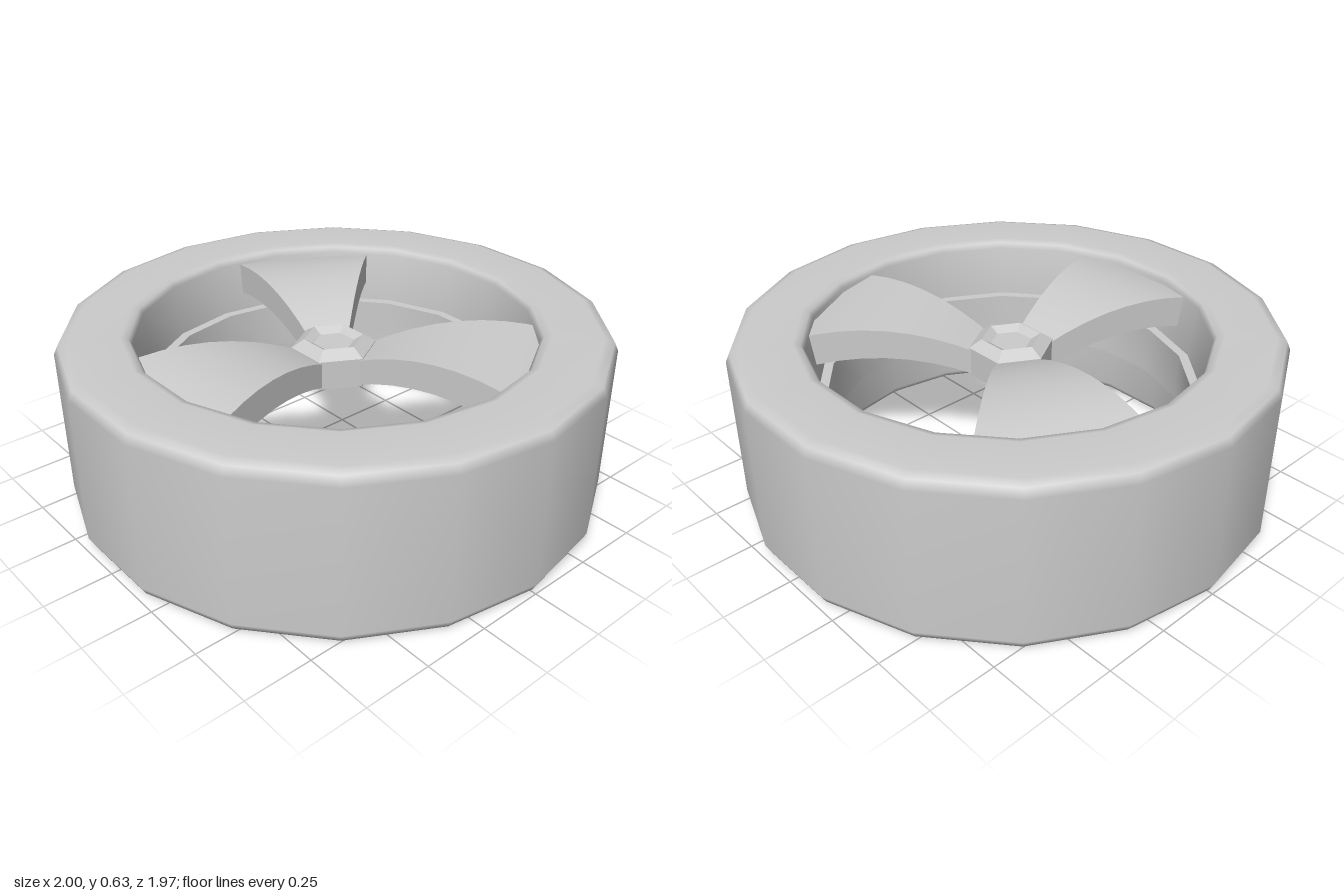
import * as THREE from 'three';
import { toCreasedNormals } from 'three/addons/utils/BufferGeometryUtils.js';

const material = new THREE.MeshStandardMaterial({ color: 0xcccccc });
const flatMaterial = new THREE.MeshStandardMaterial({ color: 0xcccccc, flatShading: true });

// Turned part with a corner on the x axis; profile is [radius, height] pairs
function turned(profile, sides) {
  const points = profile.map(([r, y]) => new THREE.Vector2(r, y));
  return new THREE.LatheGeometry(points, sides, Math.PI / 2);
}

function addMesh(parent, name, geometry, mat = material) {
  const mesh = new THREE.Mesh(geometry, mat);
  mesh.name = name;
  parent.add(mesh);
  return mesh;
}

// Spoke along +z: widens outward and arches along its length
function spokeGeometry() {
  const geometry = new THREE.BoxGeometry(1, 1, 1, 1, 1, 8);
  const pos = geometry.attributes.position;
  for (let i = 0; i < pos.count; i++) {
    const r = 0.1 + 0.64 * (pos.getZ(i) + 0.5);
    const top = 0.62 - 0.62 * (r - 0.5) ** 2;
    const thickness = 0.09 + 0.05 * r;
    const halfWidth = 0.04 + 0.34 * r;
    pos.setXYZ(i, pos.getX(i) * 2 * halfWidth, top - (0.5 - pos.getY(i)) * thickness, r);
  }
  return toCreasedNormals(geometry, 0.6);
}

export function createModel() {
  const wheel = new THREE.Group();
  wheel.name = 'wheel';

  // Tyre with rounded shoulders and a slightly waisted bore
  addMesh(wheel, 'tyre', turned([
    [0.86, 0], [0.95, 0], [0.985, 0.01], [1, 0.04],
    [1, 0.59], [0.985, 0.622], [0.95, 0.633],
    [0.77, 0.633], [0.742, 0.625], [0.73, 0.605],
    [0.705, 0.42], [0.71, 0.22],
    [0.725, 0.03], [0.735, 0.01], [0.76, 0], [0.86, 0],
  ], 18));

  // Inner rim ledge
  const rim = turned([
    [0.73, 0.22], [0.73, 0.41], [0.67, 0.41], [0.67, 0.22], [0.73, 0.22],
  ], 18);
  addMesh(wheel, 'innerRim', toCreasedNormals(rim, 0.6));

  // Hexagonal hub with a chamfered, dished cap, and three spokes around it
  const centre = new THREE.Group();
  centre.name = 'hubAndSpokes';
  centre.position.z = 0.012;
  wheel.add(centre);

  addMesh(centre, 'hub', turned([
    [0, 0.43], [0.157, 0.43], [0.157, 0.54], [0.11, 0.57], [0.075, 0.55], [0, 0.55],
  ], 6), flatMaterial);

  const spoke = spokeGeometry();
  for (let i = 0; i < 3; i++) {
    addMesh(centre, 'spoke', spoke).rotation.y = (i * 2 * Math.PI) / 3;
  }

  return wheel;
}
